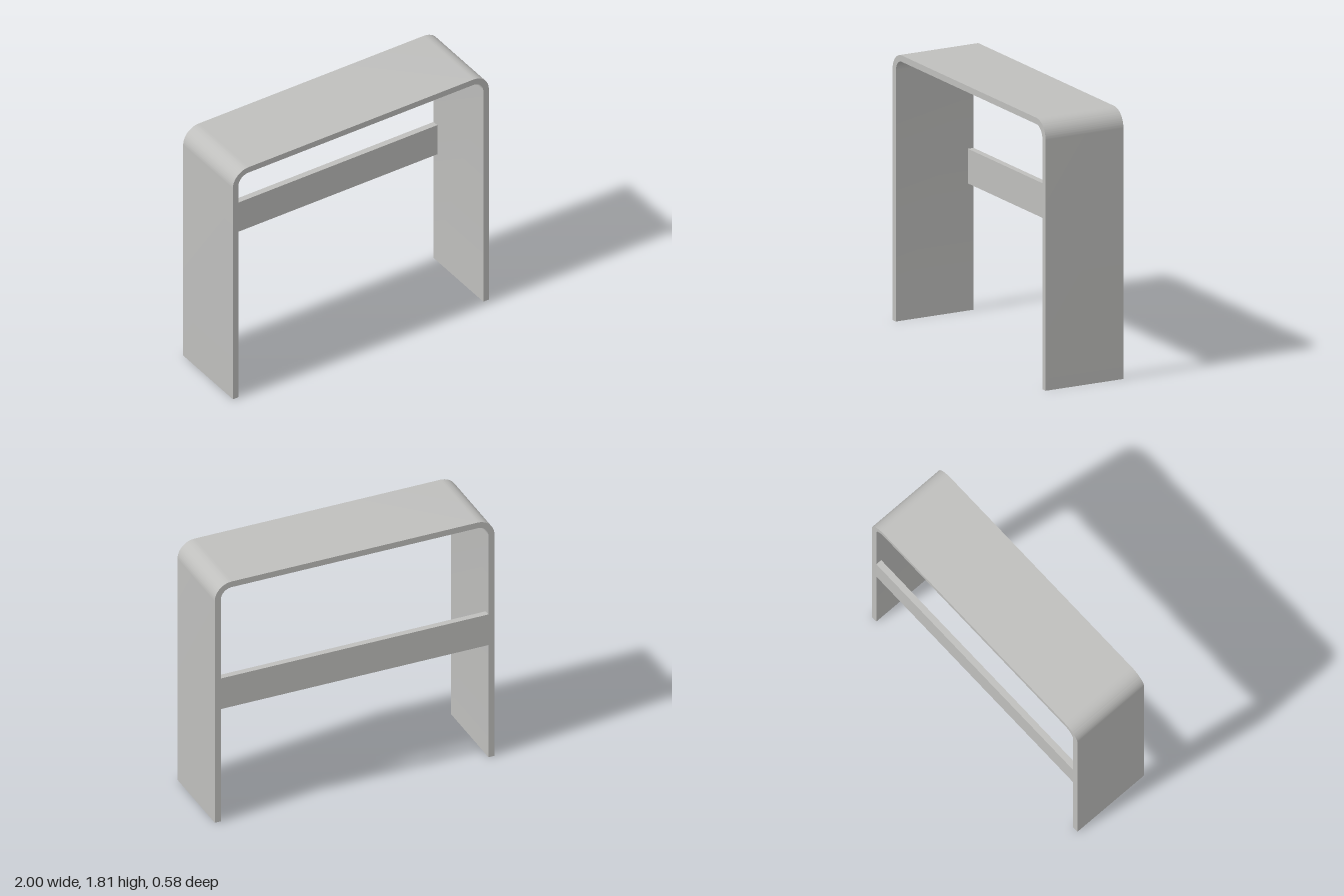
import * as THREE from 'three';
import { toCreasedNormals } from 'three/addons/utils/BufferGeometryUtils.js';

const HEIGHT = 1.814, HALF_WIDTH = 1, DEPTH = 0.584;
const THICK = 0.043, OUTER_RADIUS = 0.122;

// Traces one side of the bent panel: up the left, over the top, down the right
function traceArch(shape, halfWidth, top, radius) {
  const cx = halfWidth - radius, cy = top - radius;
  shape.lineTo(-halfWidth, cy);
  shape.absarc(-cx, cy, radius, Math.PI, Math.PI / 2, true);
  shape.lineTo(cx, top);
  shape.absarc(cx, cy, radius, Math.PI / 2, 0, true);
  shape.lineTo(halfWidth, 0);
}

function bentPanelShape() {
  const shape = new THREE.Shape();
  shape.moveTo(-HALF_WIDTH, 0);
  traceArch(shape, HALF_WIDTH, HEIGHT, OUTER_RADIUS);

  // Inner edge runs back the other way
  const w = HALF_WIDTH - THICK, r = OUTER_RADIUS - THICK;
  const cx = w - r, cy = HEIGHT - THICK - r;
  shape.lineTo(w, 0);
  shape.lineTo(w, cy);
  shape.absarc(cx, cy, r, 0, Math.PI / 2, false);
  shape.lineTo(-cx, cy + r);
  shape.absarc(-cx, cy, r, Math.PI / 2, Math.PI, false);
  shape.lineTo(-w, 0);
  shape.closePath();
  return shape;
}

export function createModel() {
  const model = new THREE.Group();
  model.name = 'consoleTable';

  const grey = new THREE.MeshStandardMaterial({ color: 0xbfbfbd });
  grey.name = 'warm grey';

  // Top and both legs as one bent sheet with rounded corners
  const panelGeometry = new THREE.ExtrudeGeometry(bentPanelShape(), {
    depth: DEPTH, bevelEnabled: false, curveSegments: 16,
  });
  panelGeometry.translate(0, 0, -DEPTH / 2);
  const panel = new THREE.Mesh(toCreasedNormals(panelGeometry, 0.5), grey);
  panel.name = 'topAndLegs';
  model.add(panel);

  // Stretcher board between the legs, flush with the back
  const bottom = 0.858, top = 1.092;
  const stretcher = new THREE.Mesh(
    new THREE.BoxGeometry(2 * (HALF_WIDTH - THICK), top - bottom, THICK), grey);
  stretcher.name = 'backStretcher';
  stretcher.position.set(0, (top + bottom) / 2, -DEPTH / 2 + THICK / 2);
  model.add(stretcher);

  return model;
}
